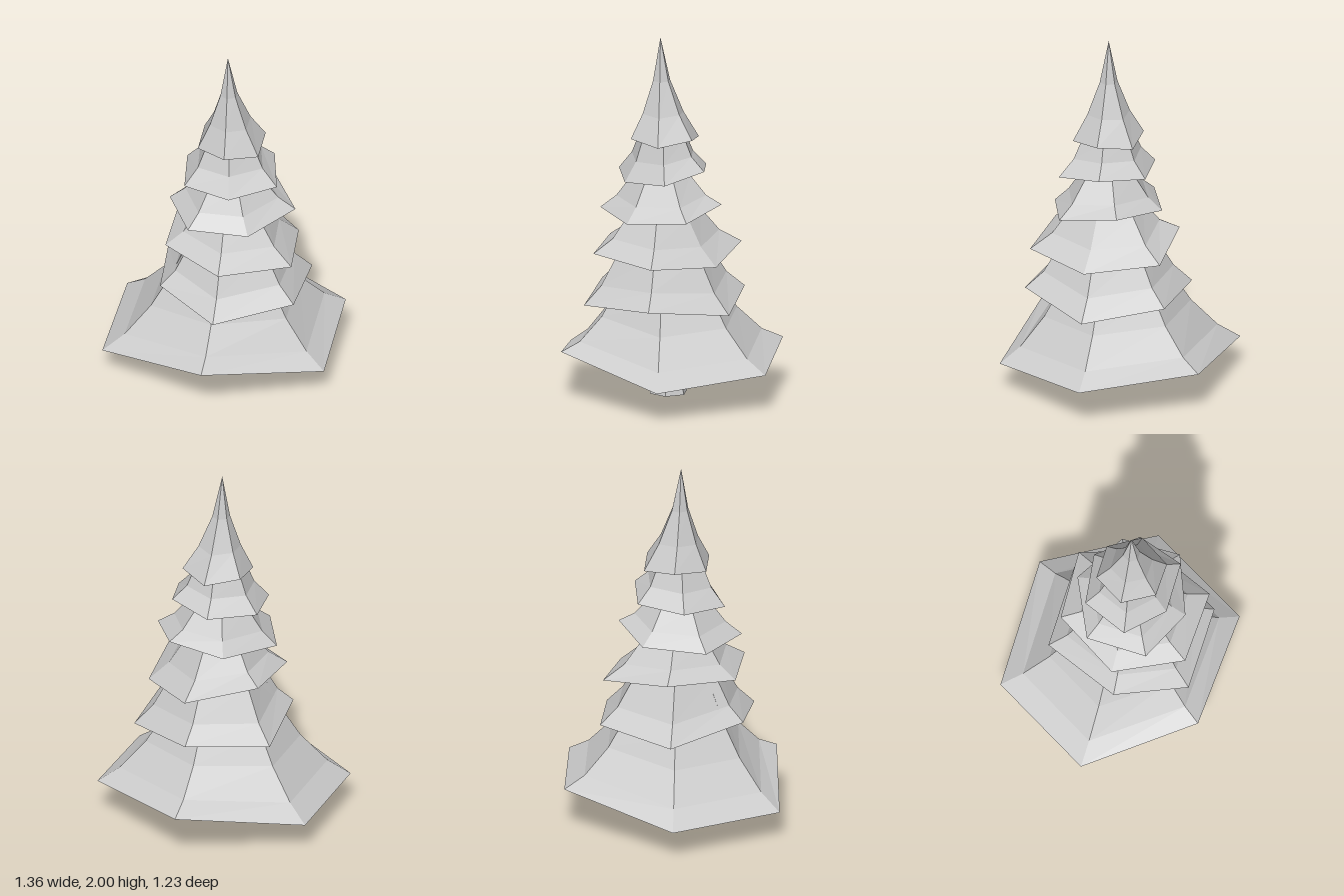
import * as THREE from 'three';

const material = new THREE.MeshStandardMaterial({ color: 0xcccccc, flatShading: true });

// One tier of branches: an uneven six-cornered rim [x, y, z] that shrinks towards
// the axis through a few rings [scale, height], closed underneath.
function makeTier(name, axis, rim, rings) {
  const n = rim.length;
  const meanY = rim.reduce((sum, p) => sum + p[1], 0) / n;
  const loops = [rim];
  for (const [s, y] of rings) {
    loops.push(rim.map(([px, py, pz]) => [
      axis[0] + (px - axis[0]) * s,
      y + (py - meanY) * s * s,
      axis[1] + (pz - axis[1]) * s,
    ]));
  }
  const positions = loops.flat(2);
  const index = [];
  for (let k = 0; k < loops.length - 1; k++) {
    for (let i = 0; i < n; i++) {
      const j = (i + 1) % n;
      const a = k * n + i, b = k * n + j, c = a + n, d = b + n;
      index.push(a, c, b, b, c, d);
    }
  }
  // underside fan
  const centre = positions.length / 3;
  positions.push(axis[0], meanY, axis[1]);
  for (let i = 0; i < n; i++) index.push(centre, i, (i + 1) % n);

  const geometry = new THREE.BufferGeometry();
  geometry.setAttribute('position', new THREE.Float32BufferAttribute(positions, 3));
  geometry.setIndex(index);
  const flat = geometry.toNonIndexed();
  flat.computeVertexNormals();
  const mesh = new THREE.Mesh(flat, material);
  mesh.name = name;
  return mesh;
}

export function createModel() {
  const tree = new THREE.Group();
  tree.name = 'tree';

  // trunk, flared at the foot
  const profile = [[0, 0], [0.108, 0], [0.082, 0.1], [0.068, 0.18], [0.06, 0.26], [0, 0.26]]
    .map(([r, y]) => new THREE.Vector2(r, y));
  const trunk = new THREE.Mesh(new THREE.LatheGeometry(profile, 6, 0.37), material);
  trunk.name = 'trunk';
  trunk.position.x = 0.005;
  tree.add(trunk);

  // branch tiers from the ground up
  tree.add(
    makeTier('bottomTier', [0, 0.03], [
      [-0.27, 0.165, -0.62], [0.43, 0.25, -0.5], [0.68, 0.21, 0.115],
      [0.29, 0.17, 0.61], [-0.39, 0.28, 0.475], [-0.68, 0.165, -0.125],
    ], [[0.82, 0.28], [0.61, 0.43], [0.47, 0.58], [0.35, 0.75]]),
    makeTier('secondTier', [0, 0.06], [
      [-0.145, 0.54, -0.375], [0.31, 0.57, -0.295], [0.465, 0.52, 0.135],
      [0.167, 0.577, 0.49], [-0.285, 0.54, 0.41], [-0.4, 0.59, 0.015],
    ], [[0.78, 0.65], [0.56, 0.82], [0.4, 0.95]]),
    makeTier('thirdTier', [0, 0.06], [
      [-0.098, 0.875, -0.314], [0.305, 0.825, -0.27], [0.383, 0.78, 0.135],
      [0.167, 0.81, 0.463], [-0.24, 0.83, 0.385], [-0.36, 0.838, 0],
    ], [[0.72, 0.9], [0.48, 1.03], [0.35, 1.15]]),
    makeTier('fourthTier', [0, 0.06], [
      [0.08, 1.05, -0.247], [0.318, 1.085, -0.035], [0.285, 1.045, 0.285],
      [-0.045, 1.015, 0.36], [-0.317, 1.035, 0.18], [-0.255, 1.03, -0.15],
    ], [[0.74, 1.11], [0.47, 1.23], [0.3, 1.4]]),
    makeTier('fifthTier', [0, 0.06], [
      [-0.135, 1.25, -0.175], [0.145, 1.26, -0.165], [0.27, 1.285, 0.07],
      [0.16, 1.245, 0.307], [-0.113, 1.22, 0.265], [-0.273, 1.235, 0.055],
    ], [[0.7, 1.34], [0.54, 1.44], [0.33, 1.55]]),
    makeTier('topTier', [-0.01, 0.06], [
      [-0.055, 1.455, -0.125], [0.14, 1.43, -0.095], [0.205, 1.455, 0.09],
      [0.08, 1.43, 0.242], [-0.11, 1.45, 0.207], [-0.175, 1.435, 0.025],
    ], [[0.6, 1.58], [0.25, 1.76], [0, 2]]),
  );
  return tree;
}
